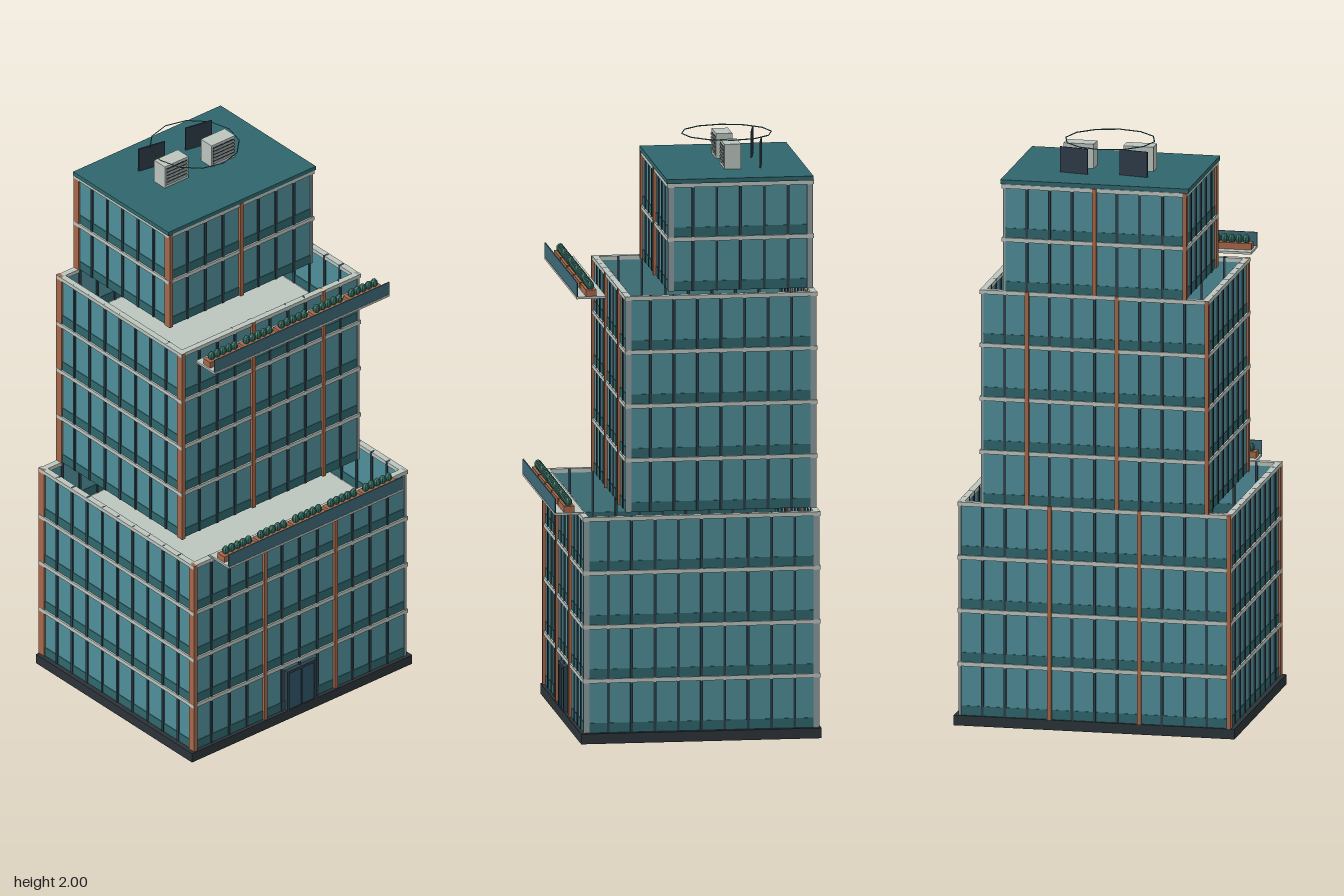
import * as THREE from 'three';

const mat = (color) => new THREE.MeshStandardMaterial({ color, flatShading: true });
const M = {
  glass: mat(0x4f8e99), spandrel: mat(0x2f666c), frame: mat(0x2e3f49), copper: mat(0xa5674a),
  concrete: mat(0xbcc4be), plinth: mat(0x2b3338), silver: mat(0x8d9a9c), rail: mat(0x3c6876),
  door: mat(0x2f5566), leaf: mat(0x2f6b5e), dark: mat(0x2c3a46),
};
const STOREY = 0.185, BACK = -0.44;

function box(parent, name, w, h, d, x, y, z, material) {
  const m = new THREE.Mesh(new THREE.BoxGeometry(w, h, d), material);
  m.name = name;
  m.position.set(x, y, z);
  parent.add(m);
  return m;
}

// Four bars around a rectangle, outer half width hw, from z0 (back) to z1 (front)
function ring(parent, name, hw, z0, z1, y0, h, t, material) {
  const y = y0 + h / 2, zc = (z0 + z1) / 2;
  for (const z of [z0 + t / 2, z1 - t / 2]) box(parent, name, 2 * hw, h, t, 0, y, z, material);
  for (const s of [-1, 1]) box(parent, name, t, h, z1 - z0 - 2 * t, s * (hw - t / 2), y, zc, material);
}

// One hollow block of the tower: glass walls, floors, mullions and copper fins
function tier(name, hw, front, y0, storeys, baysX, baysZ) {
  const g = new THREE.Group();
  g.name = name;
  const h = storeys * STOREY, yc = y0 + h / 2;
  ring(g, 'glassWall', hw, BACK, front, y0, h - 0.005, 0.01, M.glass);

  for (let i = 0; i < storeys; i++) {
    ring(g, 'spandrel', hw + 0.002, BACK - 0.002, front + 0.002, y0 + i * STOREY, 0.033, 0.014, M.spandrel);
    const top = y0 + (i + 1) * STOREY;
    ring(g, 'floorBand', hw + 0.008, BACK - 0.008, front + 0.008, top - 0.014, 0.014, 0.022, M.concrete);
    if (i < storeys - 1)
      box(g, 'floorSlab', 2 * hw - 0.01, 0.012, front - BACK - 0.01, 0, top - 0.007, (front + BACK) / 2, M.concrete);
  }

  // front and back uprights, every fourth one a copper fin
  for (let i = 0; i <= baysX; i++) {
    const x = -hw + (2 * hw * i) / baysX;
    const fin = i % 4 === 0 && i < baysX, corner = i === baysX;
    const material = fin ? M.copper : corner ? M.silver : M.frame;
    for (const z of [BACK, front])
      box(g, fin ? 'copperFin' : 'mullion', fin ? 0.014 : 0.009, h, fin ? 0.028 : 0.02, x,
        yc, z - Math.sign(z - BACK - 0.1) * (fin ? 0.003 : 0.005), material);
  }
  // side uprights
  for (let i = 1; i < baysZ; i++)
    for (const s of [-1, 1])
      box(g, 'mullion', 0.02, h, 0.009, s * (hw - 0.005), yc, BACK + ((front - BACK) * i) / baysZ, M.frame);
  return g;
}

// Planted ledge with a glass rail
function terrace(y, z) {
  const g = new THREE.Group();
  g.name = 'terrace';
  box(g, 'ledge', 0.77, 0.008, 0.1, 0, 0, 0, M.concrete);
  box(g, 'glassRail', 0.77, 0.05, 0.004, 0, 0.027, 0.047, M.rail);
  const ball = new THREE.SphereGeometry(0.013, 8, 6);
  for (let i = -2; i <= 2; i++) {
    box(g, 'planter', 0.142, 0.022, 0.036, i * 0.154, 0.015, 0, M.copper);
    for (let j = -2; j <= 2; j++) {
      const shrub = new THREE.Mesh(ball, M.leaf);
      shrub.name = 'shrub';
      shrub.scale.y = 1.25;
      shrub.position.set(i * 0.154 + j * 0.025, 0.037, 0);
      g.add(shrub);
    }
  }
  g.position.set(0, y, z);
  return g;
}

// Rooftop cooling unit with a louvred front
function coolingUnit(x) {
  const g = new THREE.Group();
  g.name = 'coolingUnit';
  box(g, 'casing', 0.104, 0.085, 0.056, 0, 0.0425, 0, M.concrete);
  box(g, 'grille', 0.09, 0.066, 0.002, 0, 0.042, 0.028, M.dark);
  for (let i = 0; i < 5; i++) box(g, 'louvre', 0.09, 0.005, 0.006, 0, 0.016 + i * 0.013, 0.029, M.concrete);
  g.position.set(x, 1.9, -0.194);
  return g;
}

export function createModel() {
  const model = new THREE.Group();
  model.name = 'steppedTower';

  box(model, 'plinth', 0.97, 0.035, 0.82, 0, 0.0175, -0.04, M.plinth);
  model.add(tier('lowerTier', 0.465, 0.355, 0.035, 4, 12, 10));
  model.add(tier('middleTier', 0.388, 0.2, 0.775, 4, 10, 8));
  model.add(tier('upperTier', 0.312, 0.045, 1.515, 2, 8, 6));
  box(model, 'roof', 0.65, 0.015, 0.5, 0, 1.8925, -0.195, M.spandrel);

  // entrance
  const entrance = new THREE.Group();
  entrance.name = 'entrance';
  box(entrance, 'doorPanel', 0.12, 0.145, 0.012, 0, 0.108, 0.36, M.door);
  for (const x of [-0.06, 0, 0.06]) box(entrance, 'doorPost', x ? 0.01 : 0.004, 0.15, 0.018, x, 0.11, 0.361, M.frame);
  box(entrance, 'doorHead', 0.13, 0.01, 0.018, 0, 0.185, 0.361, M.frame);
  model.add(entrance);

  model.add(terrace(0.773, 0.396), terrace(1.513, 0.321));

  // roof equipment
  for (const s of [-1, 1]) {
    model.add(coolingUnit(s * 0.103));
    box(model, 'roofPanel', 0.102, 0.09, 0.005, s * 0.103, 1.943, -0.297, M.dark).rotation.y = -0.19;
  }
  const hoop = new THREE.Mesh(new THREE.TorusGeometry(0.153, 0.002, 4, 12), M.spandrel);
  hoop.name = 'roofHoop';
  hoop.rotation.x = Math.PI / 2;
  hoop.position.set(0, 1.998, -0.195);
  model.add(hoop);

  return model;
}
